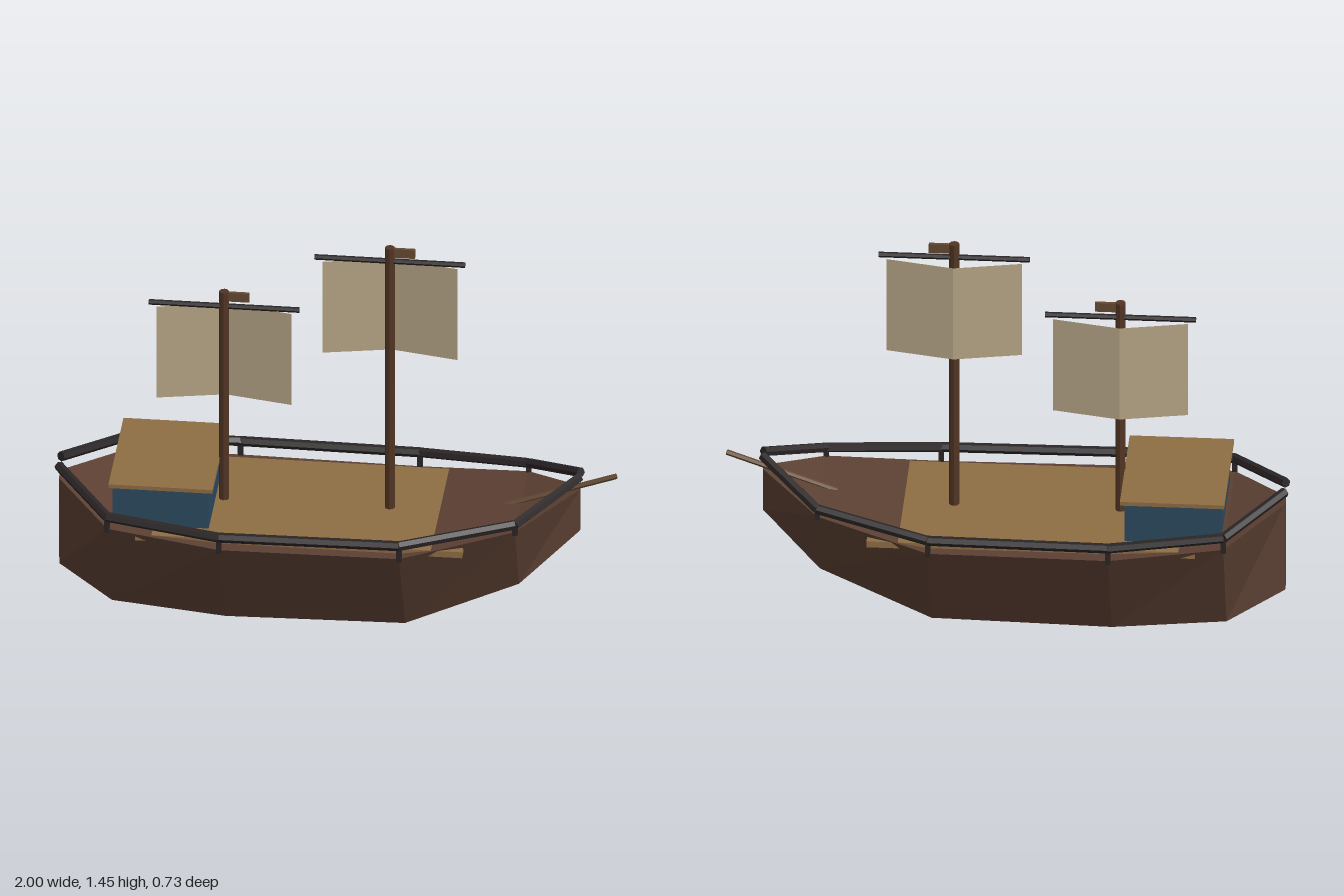
import * as THREE from 'three';

const mat = (name, color, extra = {}) => Object.assign(
  new THREE.MeshStandardMaterial({ color, flatShading: true, ...extra }), { name });

// Hull stations: x, deck y, deck half width, keel y, keel half width
const STATIONS = [
  [-0.985, 0.46, 0.03, 0.105, 0.015],
  [-0.785, 0.41, 0.285, 0.03, 0.125],
  [-0.38, 0.382, 0.345, 0.003, 0.147],
  [0.26, 0.38, 0.335, 0.012, 0.143],
  [0.66, 0.45, 0.22, 0.168, 0.092],
  [0.868, 0.52, 0.014, 0.35, 0.006],
];
const RAIL_Y = [0.512, 0.46, 0.435, 0.435, 0.482, 0.573];

function hullGeometry() {
  const rings = STATIONS.map(([x, ty, tw, by, bw]) =>
    [[x, ty, tw], [x, ty, -tw], [x, by, -bw], [x, by, bw]]);
  const pos = [];
  const quad = (a, b, c, d) => pos.push(...a, ...b, ...c, ...a, ...c, ...d);
  for (let i = 0; i < rings.length - 1; i++) {
    for (let j = 0; j < 4; j++) {
      const k = (j + 1) % 4;
      quad(rings[i][j], rings[i + 1][j], rings[i + 1][k], rings[i][k]);
    }
  }
  quad(...rings[0]);
  quad(...rings[rings.length - 1].slice().reverse());
  const g = new THREE.BufferGeometry();
  g.setAttribute('position', new THREE.Float32BufferAttribute(pos, 3));
  g.computeVertexNormals();
  return g;
}

// Two flat panels that meet in a shallow fold behind the mast
function sailGeometry(width, height, depth) {
  const g = new THREE.PlaneGeometry(width, height, 2, 1);
  const p = g.attributes.position;
  for (let i = 0; i < p.count; i++) {
    p.setZ(i, -depth * (1 - Math.abs(p.getX(i)) / (width / 2)));
  }
  g.computeVertexNormals();
  return g;
}

export function createModel() {
  const model = new THREE.Group();
  model.name = 'sailingShip';

  const hullWood = mat('hullWood', 0x5c4033);
  const deckWood = mat('deckWood', 0x8f6e44);
  const mastWood = mat('mastWood', 0x523624);
  const sparWood = mat('sparWood', 0x654a32);
  const darkWood = mat('darkWood', 0x2b2526);
  const cabinBlue = mat('cabinBlue', 0x2c4a60);
  const sailCloth = mat('sailCloth', 0xb8a688, { side: THREE.DoubleSide });

  const add = (name, geometry, material, x = 0, y = 0, z = 0, parent = model) => {
    const m = new THREE.Mesh(geometry, material);
    m.name = name;
    m.position.set(x, y, z);
    parent.add(m);
    return m;
  };
  const box = (name, material, x0, x1, y0, y1, depth, z = 0, parent = model) =>
    add(name, new THREE.BoxGeometry(x1 - x0, y1 - y0, depth), material,
      (x0 + x1) / 2, (y0 + y1) / 2, z, parent);
  // Round bar between two points
  const bar = (name, a, b, radius, sides, material, parent = model) => {
    const dir = b.clone().sub(a);
    const m = add(name, new THREE.CylinderGeometry(radius, radius, dir.length(), sides),
      material, 0, 0, 0, parent);
    m.position.copy(a).add(b).multiplyScalar(0.5);
    m.quaternion.setFromUnitVectors(new THREE.Vector3(0, 1, 0), dir.normalize());
    return m;
  };
  const v = (x, y, z) => new THREE.Vector3(x, y, z);

  // Hull and deck
  add('hull', hullGeometry(), hullWood);
  box('deck', deckWood, -0.685, 0.48, 0.375, 0.399, 0.59);

  // Stern cabin
  box('cabinWalls', cabinBlue, -0.772, -0.43, 0.395, 0.552, 0.45);
  box('cabinRoof', deckWood, -0.785, -0.415, 0.55, 0.565, 0.48);

  // Rails and posts, mirrored on both sides
  for (const side of [1, -1]) {
    const rail = new THREE.Group();
    rail.name = side > 0 ? 'frontRail' : 'backRail';
    model.add(rail);
    const pts = STATIONS.map(([x, , w], i) => v(x, RAIL_Y[i], side * (w + 0.003)));
    for (let i = 0; i < pts.length - 1; i++) {
      bar('railBar', pts[i], pts[i + 1], 0.018, 6, darkWood, rail);
    }
    for (let i = 1; i < 5; i++) {
      const [x, y, w] = STATIONS[i];
      box('railPost', darkWood, x - 0.009, x + 0.009, y - 0.01, RAIL_Y[i], 0.018,
        side * w, rail);
    }
  }

  // Masts with yard, sail and pennant
  for (const [name, x, top, yardY] of [['aftMast', -0.4, 1.24, 1.18], ['foreMast', 0.19, 1.455, 1.4]]) {
    const rig = new THREE.Group();
    rig.name = name;
    model.add(rig);
    bar('mast', v(x, 0.38, 0), v(x, top, 0), 0.018, 8, mastWood, rig);
    bar('yard', v(x - 0.268, yardY, 0), v(x + 0.268, yardY, 0), 0.01, 6, darkWood, rig);
    add('sail', sailGeometry(0.48, 0.37, 0.05), sailCloth, x, yardY - 0.203, 0, rig);
    box('pennant', sparWood, x + 0.01, x + 0.09, top - 0.038, top - 0.003, 0.012, 0, rig);
  }

  // Bowsprit
  bar('bowsprit', v(0.605, 0.435, 0), v(0.997, 0.575, 0), 0.01, 6, sparWood);

  return model;
}
